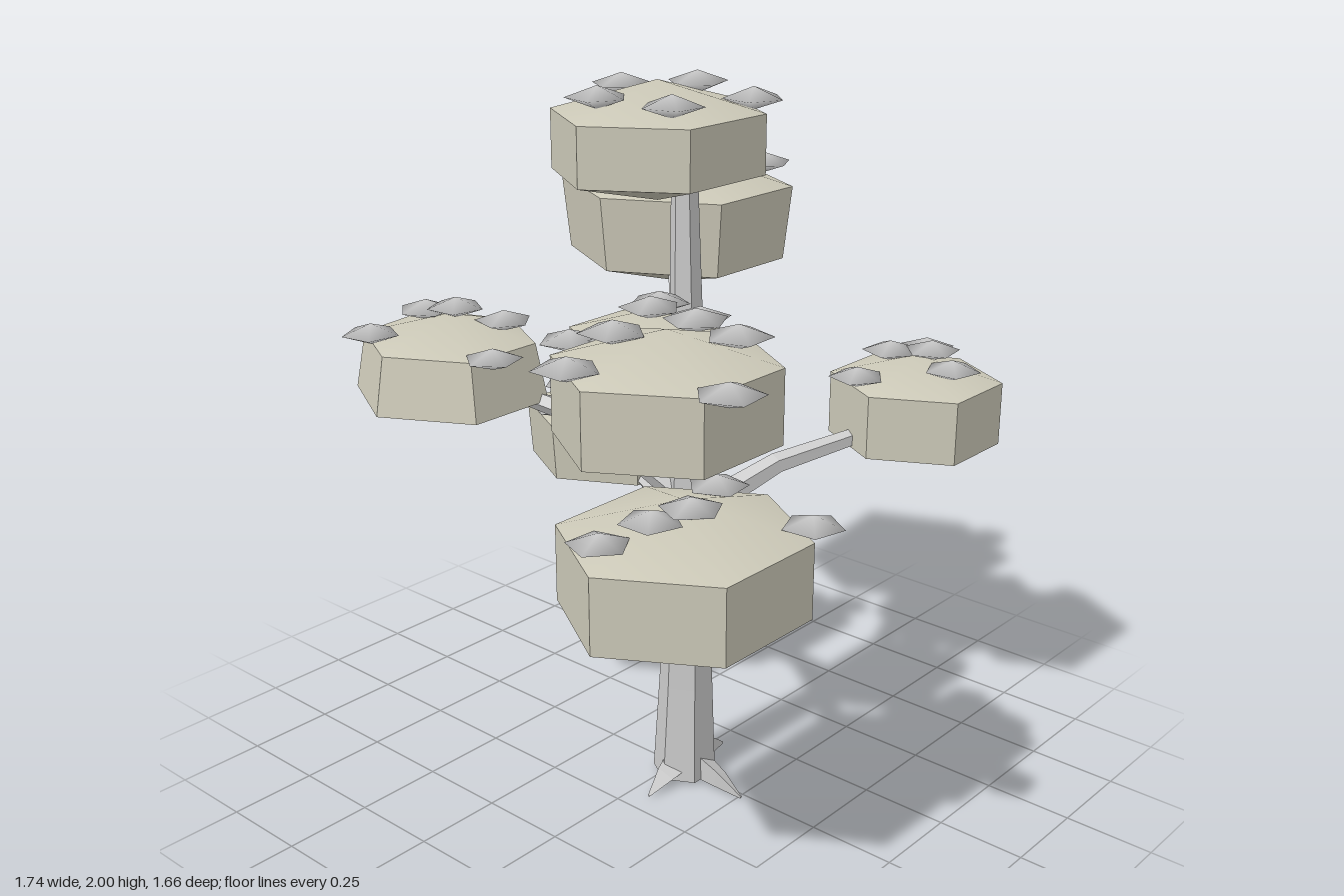
import * as THREE from 'three';

const bark = new THREE.MeshStandardMaterial({ color: 0xcccccc, flatShading: true });
const stone = new THREE.MeshStandardMaterial({ color: 0xcccccc });
const foliage = new THREE.MeshStandardMaterial({ color: 0xccc9b8 });

function buildGeometry(positions, index) {
  const g = new THREE.BufferGeometry();
  g.setAttribute('position', new THREE.Float32BufferAttribute(positions, 3));
  g.setIndex(index);
  g.computeVertexNormals();
  return g;
}

// Tapered limb: rings of `sides` corners around a bent path, closed at both ends
function limb(name, path, radii, sides) {
  const pts = path.map(p => new THREE.Vector3(...p));
  const end = pts.length - 1;
  const span = pts[end].clone().sub(pts[0]);
  const upright = Math.hypot(span.x, span.z) < 0.1;
  const ref = upright ? new THREE.Vector3(0, 0, 1) : new THREE.Vector3(0, 1, 0);
  const pos = [], idx = [];
  pts.forEach((p, i) => {
    const dir = pts[Math.min(i + 1, end)].clone().sub(pts[Math.max(i - 1, 0)]).normalize();
    const u = new THREE.Vector3().crossVectors(ref, dir).normalize();
    const v = new THREE.Vector3().crossVectors(dir, u);
    for (let k = 0; k < sides; k++) {
      const a = (k / sides) * Math.PI * 2;
      const q = p.clone().addScaledVector(u, Math.cos(a) * radii[i]).addScaledVector(v, Math.sin(a) * radii[i]);
      pos.push(q.x, q.y, q.z);
    }
  });
  for (let i = 0; i < end; i++) {
    for (let k = 0; k < sides; k++) {
      const a = i * sides + k, b = i * sides + (k + 1) % sides;
      idx.push(a, b, b + sides, a, b + sides, a + sides);
    }
  }
  for (let k = 1; k < sides - 1; k++) {
    idx.push(0, k + 1, k, end * sides, end * sides + k, end * sides + k + 1);
  }
  const mesh = new THREE.Mesh(buildGeometry(pos, idx), bark);
  mesh.name = name;
  return mesh;
}

// Six-sided canopy: flat sides between shallow smooth cones above and below
function canopy({ center: [cx, cz], radii: [rx, rz], rim: [low, high], flare = 1, corner = 1 }, apex, nadir) {
  const n = 6;
  const ring = (s, y) => Array.from({ length: n }, (_, i) => {
    const a = (i / n) * Math.PI * 2;
    const r = i === n - 1 ? s * corner : s;
    return [cx + Math.cos(a) * rx * r, y, cz + Math.sin(a) * rz * r];
  });
  const bottom = ring(flare, low), top = ring(1, high);
  const verts = [[cx, apex, cz], ...top, [cx, nadir, cz], ...bottom];
  const idx = [];
  for (let i = 0; i < n; i++) {
    const j = (i + 1) % n;
    idx.push(0, 1 + j, 1 + i, n + 1, n + 2 + i, n + 2 + j);
    const s = verts.length;
    verts.push(bottom[j], bottom[i], top[i], top[j]);
    idx.push(s, s + 1, s + 2, s, s + 2, s + 3);
  }
  const mesh = new THREE.Mesh(buildGeometry(verts.flat(), idx), foliage);
  mesh.name = 'canopy';
  return mesh;
}

// rim: lower and upper edge heights; flare: lower rim relative to upper;
// tufts: bearings in degrees, moving outward over the given spread;
// fork: height where the branch leaves the trunk
const clusters = [
  { name: 'crownCluster', center: [-0.125, 0.045], radii: [0.285, 0.265], rim: [1.77, 1.92], corner: 1.1,
    tufts: [0, 195, 128, 293, 47], spread: [0.55, 0.86] },
  { name: 'upperLeftCluster', center: [0.395, -0.35], radii: [0.315, 0.35], rim: [1.4, 1.61], flare: 0.93, corner: 1.12,
    tufts: [123, 184, 332, 281, 31], spread: [0.26, 0.82], fork: 1.1 },
  { name: 'upperRightCluster', center: [-0.585, 0.48], radii: [0.272, 0.26], rim: [1.3, 1.48],
    tufts: [238, 39, 338, 197, 112], spread: [0.45, 1.1], fork: 1.0 },
  { name: 'lowerRightCluster', center: [-0.445, 0.41], radii: [0.325, 0.31], rim: [0.8, 1.0],
    tufts: [122, 176, 346, 191, 50], spread: [0.2, 0.97], fork: 0.77 },
  { name: 'lowerLeftCluster', center: [0.625, 0.35], radii: [0.23, 0.245], rim: [0.93, 1.11],
    tufts: [17, 270, 96, 337, 202], spread: [0.23, 0.83], fork: 0.8 },
  { name: 'rearRightCluster', center: [-0.31, -0.555], radii: [0.235, 0.25], rim: [1.1, 1.26], flare: 1.13, corner: 1.15,
    tufts: [0, 270, 45, 212, 107], spread: [0.12, 1.12], fork: 0.87 },
  { name: 'innerCluster', center: [-0.25, 0.13], radii: [0.2, 0.21], rim: [1.24, 1.4], flare: 0.95,
    tufts: [135, 337, 56, 161, 197], spread: [0.12, 1.1], fork: 1.08 },
  { name: 'rearCluster', center: [0.145, -0.385], radii: [0.237, 0.255], rim: [0.82, 0.98], flare: 0.95,
    tufts: [34, 347, 254, 189, 33], spread: [0.1, 0.95], fork: 0.77 },
];

export function createModel() {
  const tree = new THREE.Group();
  tree.name = 'tree';

  // Trunk with a slightly flared foot
  tree.add(limb('trunk',
    [[-0.01, 0.01, 0.04], [-0.01, 0.3, 0.045], [-0.015, 0.8, 0.055], [-0.03, 1.3, 0.06], [-0.04, 1.78, 0.06]],
    [0.09, 0.076, 0.058, 0.046, 0.034], 6));

  // Spiked surface roots
  for (const [x, z] of [[0.175, 0.03], [-0.185, 0.06], [-0.02, 0.26]]) {
    const along = (t, y) => [x * t, y, 0.04 + (z - 0.04) * t];
    tree.add(limb('root', [along(0.25, 0.045), along(0.6, 0.03), along(1, 0.004)], [0.045, 0.03, 0.004], 3));
  }

  // Flattened five-sided leaf tuft shared by all clusters
  const tuftGeometry = new THREE.SphereGeometry(0.08, 5, 2).scale(1, 0.36, 1);

  clusters.forEach((c, ci) => {
    const group = new THREE.Group();
    group.name = c.name;
    const [cx, cz] = c.center;
    const [low, high] = c.rim;
    const radius = (c.radii[0] + c.radii[1]) / 2;
    const rise = radius * 0.28;
    group.add(canopy(c, high + rise, low - radius * 0.26));

    // Branch rises steeply, then levels out under the canopy
    if (c.fork) {
      const start = new THREE.Vector3(-0.02, c.fork, 0.05);
      const tip = new THREE.Vector3(cx * 0.78, low + 0.03, cz * 0.78);
      const bend = start.clone().lerp(tip, 0.5);
      bend.y = THREE.MathUtils.lerp(start.y, tip.y, 0.72);
      group.add(limb('branch', [start.toArray(), bend.toArray(), tip.toArray()], [0.042, 0.03, 0.024], 5));
    }

    // Tufts sit on the slope of the upper cone
    c.tufts.forEach((bearing, i) => {
      const t = THREE.MathUtils.lerp(...c.spread, i / (c.tufts.length - 1));
      const a = THREE.MathUtils.degToRad(bearing);
      const tuft = new THREE.Mesh(tuftGeometry, stone);
      tuft.name = 'leafTuft';
      tuft.position.set(cx + Math.cos(a) * radius * t, high + rise * (1 - t) + 0.02, cz + Math.sin(a) * radius * t);
      tuft.rotation.y = ci * 0.9 + i * 1.7;
      group.add(tuft);
    });
    tree.add(group);
  });
  return tree;
}
